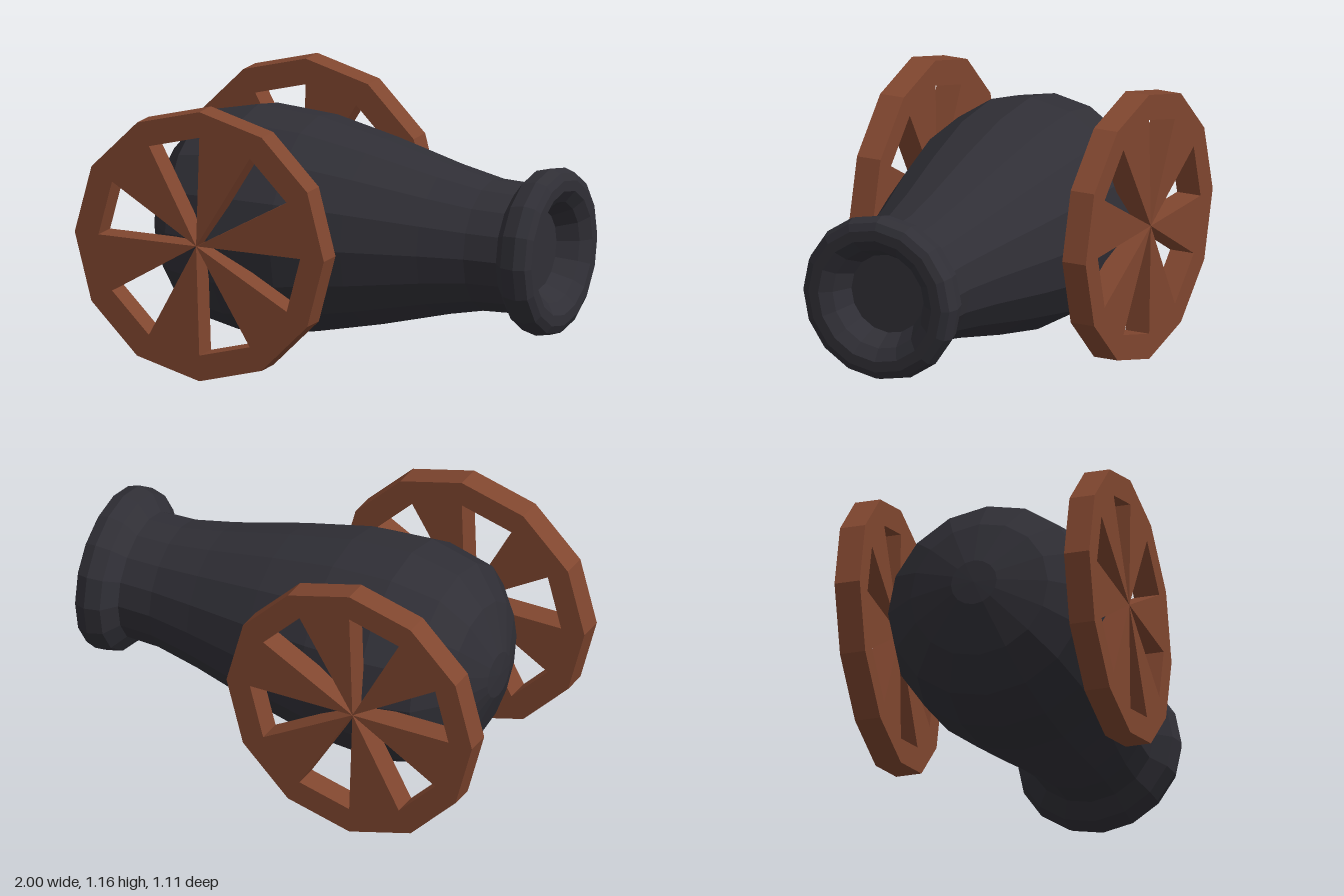
import * as THREE from 'three';

const iron = new THREE.MeshStandardMaterial({ color: 0x302f36, flatShading: true });
const wood = new THREE.MeshStandardMaterial({ color: 0x80462f, flatShading: true });

const AXLE_X = -0.42, AXLE_Y = 0.578;
const RIM_OUTER = 0.578, RIM_INNER = 0.468, THICKNESS = 0.11;

// Corner number i of a twelve-sided polygon
const corner = (r, i) => new THREE.Vector2(r * Math.cos(i * Math.PI / 6), r * Math.sin(i * Math.PI / 6));
const polygon = (r) => Array.from({ length: 12 }, (_, i) => corner(r, i));

function slab(name, shape) {
  const geometry = new THREE.ExtrudeGeometry(shape, { depth: THICKNESS, bevelEnabled: false });
  geometry.translate(0, 0, -THICKNESS / 2);
  const mesh = new THREE.Mesh(geometry, wood);
  mesh.name = name;
  return mesh;
}

// Twelve-sided rim with six wedge spokes meeting near the centre
function createWheel(name, z) {
  const wheel = new THREE.Group();
  wheel.name = name;
  const rim = new THREE.Shape(polygon(RIM_OUTER));
  rim.holes.push(new THREE.Path(polygon(RIM_INNER).reverse()));
  wheel.add(slab('rim', rim));
  const hub = new THREE.Vector2(-0.015, 0);
  for (let i = 0; i < 12; i += 2) {
    wheel.add(slab('spoke', new THREE.Shape([hub, corner(RIM_INNER, i), corner(RIM_INNER, i + 1)])));
  }
  wheel.position.set(AXLE_X, AXLE_Y, z);
  return wheel;
}

// Barrel turned around the x axis: [radius, x] from the rounded rear to the bore
function createBarrel() {
  const profile = [
    [0, -0.836], [0.1, -0.83], [0.3, -0.755], [0.433, -0.64], [0.481, -0.42], [0.463, -0.14],
    [0.4, 0.155], [0.32, 0.47], [0.28, 0.668], [0.275, 0.818],
    // muzzle ring
    [0.34, 0.87], [0.357, 0.936], [0.342, 0.984], [0.31, 1], [0.265, 1],
    // shallow bore with a flat floor
    [0.215, 0.965], [0.17, 0.88], [0, 0.88],
  ].map(([r, x]) => new THREE.Vector2(r, x));
  const geometry = new THREE.LatheGeometry(profile, 16);
  geometry.rotateZ(-Math.PI / 2);
  const barrel = new THREE.Mesh(geometry, iron);
  barrel.name = 'barrel';
  barrel.position.y = 0.583;
  return barrel;
}

export function createModel() {
  const model = new THREE.Group();
  model.name = 'cannon';
  model.add(createBarrel(), createWheel('frontWheel', 0.5), createWheel('backWheel', -0.5));
  return model;
}
